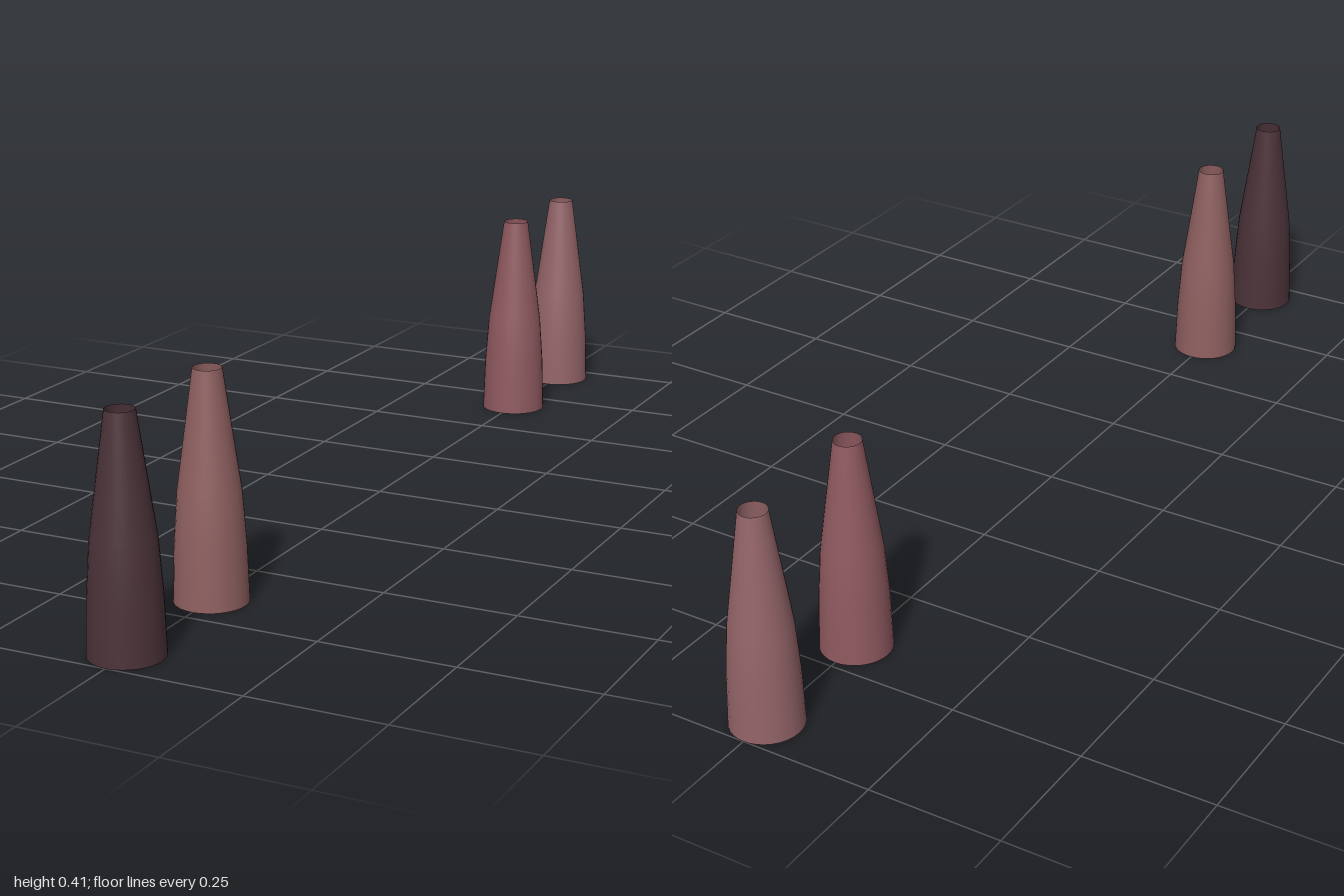
import * as THREE from 'three';

// One open, thin-walled tapering sleeve
function makeSleeve(name, z, color) {
  const profile = [[0.066, 0], [0.0625, 0.105], [0.0555, 0.2], [0.0255, 0.414]]
    .map(([r, y]) => new THREE.Vector2(r, y));
  const material = new THREE.MeshStandardMaterial({ color, side: THREE.DoubleSide });
  const sleeve = new THREE.Mesh(new THREE.LatheGeometry(profile, 32), material);
  sleeve.name = name;
  sleeve.position.z = z;
  return sleeve;
}

export function createModel() {
  const group = new THREE.Group();
  group.name = 'taperedSleeves';
  // Two pairs in a row along z, the foremost one darkest
  group.add(
    makeSleeve('frontOuterSleeve', 0.934, 0x4a3238),
    makeSleeve('frontInnerSleeve', 0.66, 0x8f6060),
    makeSleeve('backInnerSleeve', -0.672, 0x8f5a60),
    makeSleeve('backOuterSleeve', -0.934, 0x936468),
  );
  return group;
}
